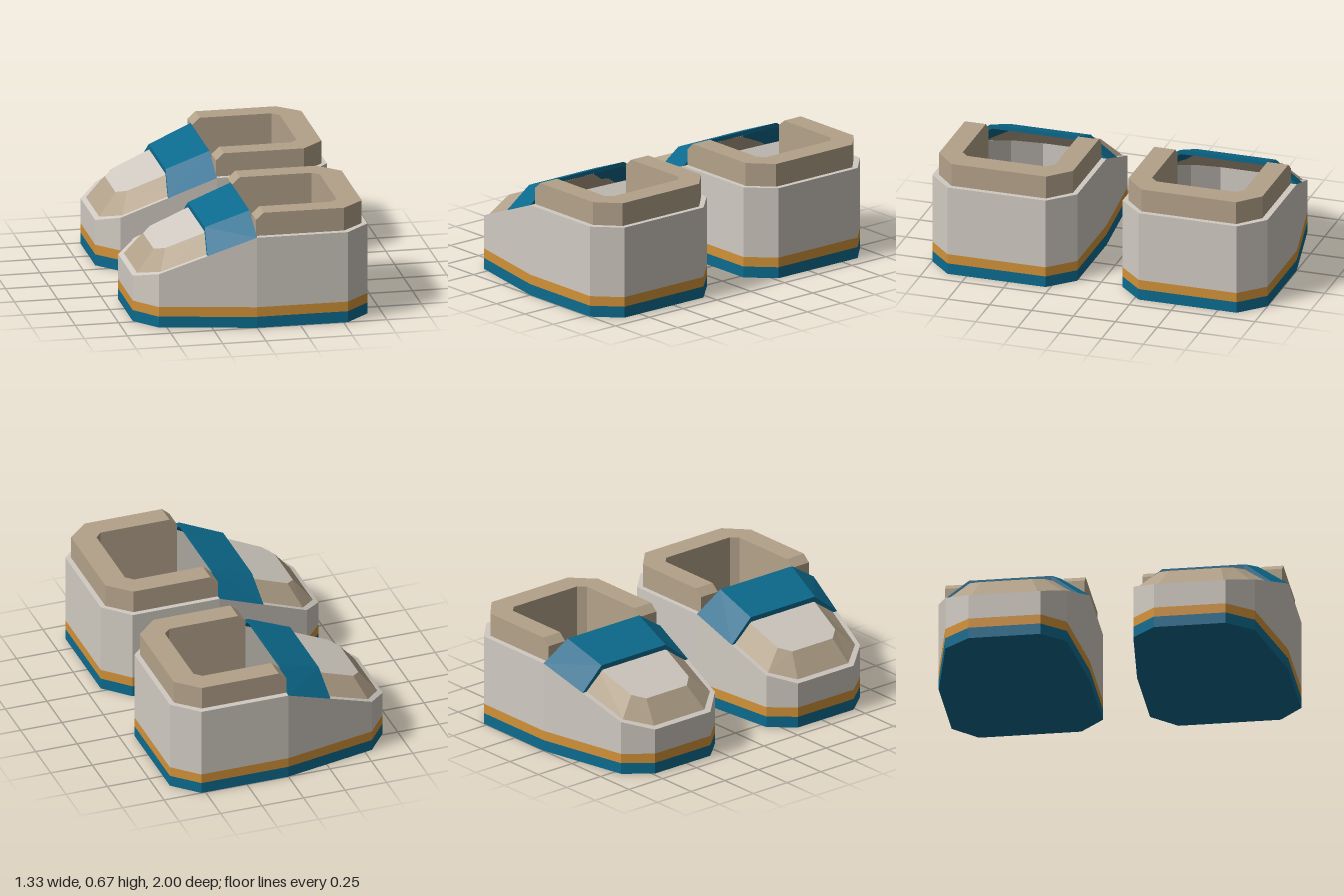
import * as THREE from 'three';

const material = (name, color, side = THREE.FrontSide) => {
  const m = new THREE.MeshStandardMaterial({ color, flatShading: true, side });
  m.name = name;
  return m;
};

// Outlines of one shoe as [x, z], counterclockwise from above, toe towards -x
const OUTER = [[-0.545, 0.885], [0, 1], [0.525, 1], [0.665, 0.863], [0.665, 0.278], [0.525, 0.135],
  [0, 0.135], [-0.545, 0.19], [-0.665, 0.325], [-0.665, 0.735]];
const INNER = [[-0.53, 0.86], [0, 0.965], [0.51, 0.965], [0.635, 0.85], [0.635, 0.285], [0.51, 0.165],
  [0, 0.165], [-0.53, 0.215], [-0.637, 0.345], [-0.637, 0.72]];

// Height of the sloping upper edge
const rimY = (x) => 0.535 + 0.4 * Math.min(x, 0);
const level = (outline, y) => outline.map(([x, z]) => [x, y, z]);
const onRim = (outline, lift = 0) => outline.map(([x, z]) => [x, rimY(x) + lift, z]);

function fromTriangles(tris) {
  const g = new THREE.BufferGeometry();
  g.setAttribute('position', new THREE.Float32BufferAttribute(tris.flat(2), 3));
  return g;
}

// Quads between successive point loops
function loft(loops, closed = true) {
  const tris = [];
  for (let l = 0; l + 1 < loops.length; l++) {
    const a = loops[l], b = loops[l + 1], n = a.length;
    for (let i = 0; i < (closed ? n : n - 1); i++) {
      const j = (i + 1) % n;
      tris.push([a[i], a[j], b[j]], [a[i], b[j], b[i]]);
    }
  }
  return fromTriangles(tris);
}

// Flat convex polygon
function cap(points, down = false) {
  const tris = [];
  for (let i = 1; i + 1 < points.length; i++) {
    tris.push(down ? [points[0], points[i + 1], points[i]] : [points[0], points[i], points[i + 1]]);
  }
  return fromTriangles(tris);
}

// U-shaped padded collar with bevelled front ends, reaching down as a lining
function collarGeometry() {
  const u = [...INNER.slice(1, 7), [0, 0.29], [0.46, 0.29], [0.5, 0.33], [0.5, 0.8], [0.46, 0.84], [0, 0.84]];
  const shape = new THREE.Shape(u.map(([x, z]) => new THREE.Vector2(x, -z)));
  const g = new THREE.ExtrudeGeometry(shape, { depth: 2, steps: 2, bevelEnabled: false });
  g.rotateX(-Math.PI / 2);
  const p = g.attributes.position, heights = [0.125, 0.63, 0.67];
  for (let i = 0; i < p.count; i++) {
    const step = Math.round(p.getY(i));
    p.setY(i, heights[step]);
    if (step === 2 && p.getX(i) < 0.02) p.setX(i, 0.045);
  }
  return g;
}

// Mirror across z = 0 and restore the corner order
function mirrorZ(g) {
  const p = g.attributes.position;
  for (let i = 0; i < p.count; i += 3) {
    const t = [0, 2, 1].map((k) => [p.getX(i + k), p.getY(i + k), -p.getZ(i + k)]);
    t.forEach((v, k) => p.setXYZ(i + k, ...v));
  }
}

export function createModel() {
  const body = material('light grey', 0xd0cac1, THREE.DoubleSide);
  const tan = material('tan', 0xb3a28a, THREE.DoubleSide);
  const blue = material('blue', 0x0c6b8e, THREE.DoubleSide);
  const orange = material('orange', 0xd29238);

  function shoe(name, mirrored) {
    const group = new THREE.Group();
    group.name = name;
    const add = (part, geometry, mat) => {
      const g = geometry.index ? geometry.toNonIndexed() : geometry;
      if (mirrored) mirrorZ(g);
      g.computeVertexNormals();
      const mesh = new THREE.Mesh(g, mat);
      mesh.name = part;
      group.add(mesh);
    };

    // Sole
    add('sole', loft([level(OUTER, 0), level(OUTER, 0.065)]), blue);
    add('soleBottom', cap(level(OUTER, 0), true), blue);
    add('soleStripe', loft([level(OUTER, 0.065), level(OUTER, 0.122)]), orange);

    // Upper walls with a narrow rim, and the inner floor
    add('upper', loft([level(OUTER, 0.122), onRim(OUTER), onRim(INNER)]), body);
    add('insole', cap(level(INNER, 0.125)), tan);
    add('collar', collarGeometry(), tan);

    // Faceted toe cap, tucked under the strap
    const toeBase = [[-0.22, 0.185], [-0.53, 0.215], [-0.637, 0.345], [-0.637, 0.72], [-0.53, 0.86], [-0.22, 0.923]];
    const toeTop = [[-0.22, 0.305], [-0.48, 0.33], [-0.535, 0.39], [-0.535, 0.69], [-0.48, 0.755], [-0.22, 0.795]];
    add('toeSides', loft([onRim(toeBase), onRim(toeTop, 0.086)], false), tan);
    add('toeTop', cap(onRim(toeTop, 0.086)), body);

    // Strap: an arch with thickness over the instep
    const arch = (xBase, xTop, z, lift) => [[xBase, z[0], 0], [xTop, z[1], lift], [xTop, z[2], lift], [xBase, z[3], 0]]
      .map(([x, pz, up]) => [x, rimY(x) + up, pz]);
    const front = arch(-0.275, -0.26, [0.162, 0.315, 0.79, 0.942], 0.118);
    const back = arch(0, -0.01, [0.135, 0.3, 0.83, 1], 0.115);
    const backIn = arch(0, -0.01, [0.165, 0.305, 0.82, 0.965], 0.09);
    const frontIn = arch(-0.275, -0.26, [0.185, 0.32, 0.78, 0.915], 0.09);
    add('strap', loft([front, back, backIn, frontIn, front], false), blue);
    return group;
  }

  const model = new THREE.Group();
  model.name = 'shoes';
  model.add(shoe('frontShoe', false), shoe('backShoe', true));
  return model;
}
